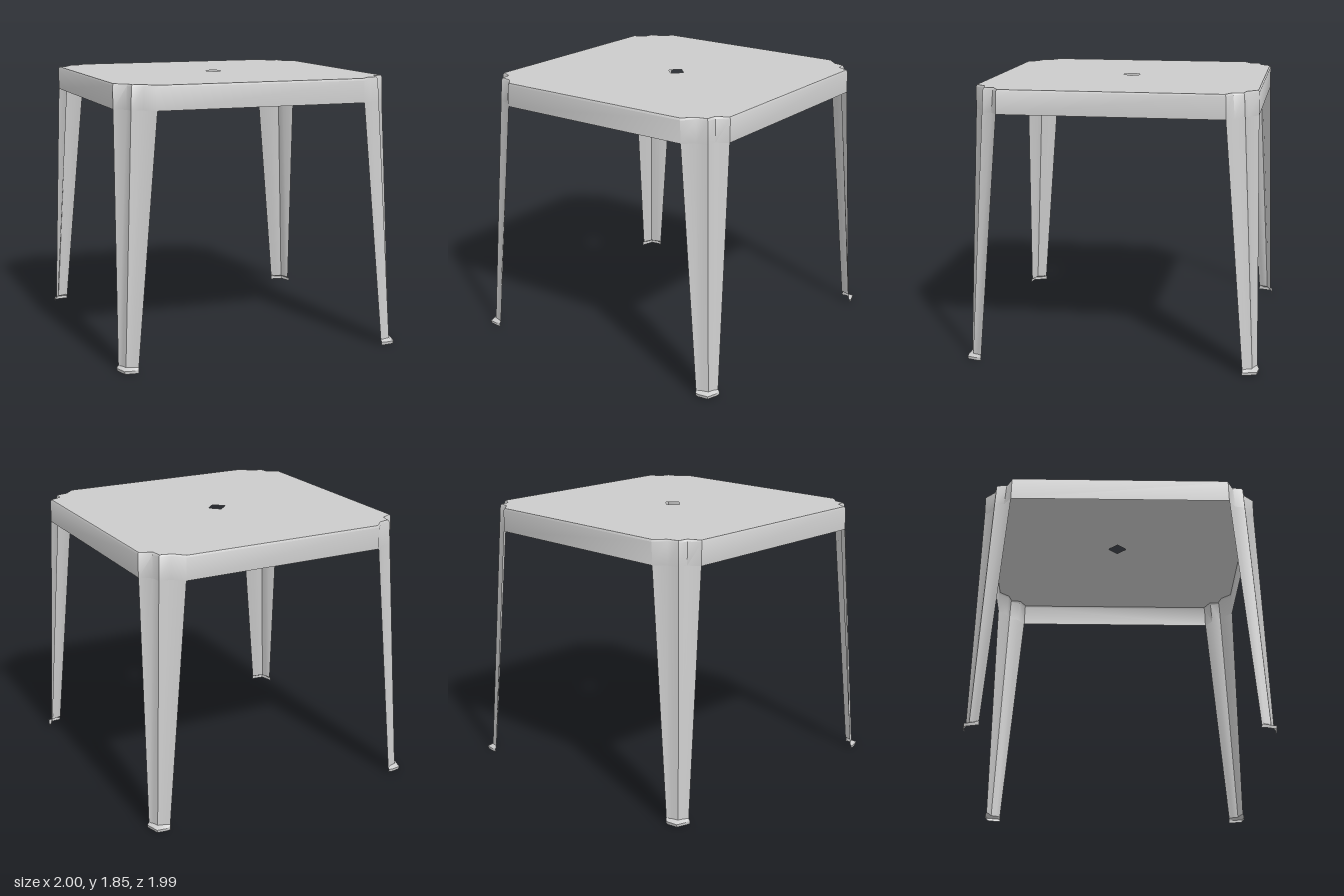
import * as THREE from 'three';
import { toCreasedNormals } from 'three/addons/utils/BufferGeometryUtils.js';

const TOP = 1.853, RIM = 1.84, APRON = 1.69, ANKLE = 0.035;

// Folded corner section [x, z], running from the front edge round to the side edge
const cornerTop = [[0.722, 0.948], [0.79, 0.878], [0.868, 0.86], [0.878, 0.79], [0.96, 0.748]];
const cornerFoot = [[0.877, 0.982], [0.908, 0.965], [0.955, 0.952], [0.968, 0.915], [0.988, 0.887]];
const footLip = [[0.88, 0.99], [0.908, 0.995], [0.974, 0.986], [0.995, 0.92], [1.0, 0.887]];

// The folds lean outwards on the way down; the two end points stay upright along the apron
const cornerApron = cornerTop.map((p, i) => {
  const k = i === 0 || i === 4 ? 0.02 : 0.087;
  return p.map((v, j) => v + (cornerFoot[i][j] - v) * k);
});

const corners = [[1, 1], [1, -1], [-1, -1], [-1, 1]];

// Mirror a corner section, keeping it anticlockwise seen from above
function mirror(section, [sx, sz]) {
  const pts = section.map(([x, z]) => [x * sx, z * sz]);
  return sx * sz < 0 ? pts.reverse() : pts;
}
const ring = (section) => corners.flatMap((c) => mirror(section, c));
const at = (pts, y, s = 1) => pts.map(([x, z]) => [x * s, y, z * s]);

// Skin rows of points given from top to bottom
function loft(rows, closed) {
  const n = rows[0].length, index = [];
  for (let r = 0; r < rows.length - 1; r++) {
    for (let i = 0; i < (closed ? n : n - 1); i++) {
      const j = (i + 1) % n;
      const a = r * n + i, b = r * n + j, c = a + n, d = b + n;
      index.push(c, d, b, c, b, a);
    }
  }
  const geo = new THREE.BufferGeometry();
  geo.setAttribute('position', new THREE.Float32BufferAttribute(rows.flat(2), 3));
  geo.setIndex(index);
  return toCreasedNormals(geo, 0.9);
}

export function createModel() {
  const group = new THREE.Group();
  const plastic = new THREE.MeshStandardMaterial({ color: 0xcccccc, side: THREE.DoubleSide });
  plastic.name = 'greyPlastic';

  function add(name, geo) {
    const mesh = new THREE.Mesh(geo, plastic);
    mesh.name = name;
    group.add(mesh);
  }

  // Table top with a diamond hole for a parasol
  const outline = ring(cornerTop).map(([x, z]) => new THREE.Vector2(x * 0.992, -z * 0.992));
  const shape = new THREE.Shape(outline);
  const h = 0.066;
  shape.holes.push(new THREE.Path([[h, 0], [0, -h], [-h, 0], [0, h]].map(([x, y]) => new THREE.Vector2(x, y))));
  add('tableTop', new THREE.ShapeGeometry(shape).rotateX(-Math.PI / 2).translate(0, TOP, 0));

  // Apron with a softened upper edge
  add('apron', loft([
    at(ring(cornerTop), TOP, 0.992),
    at(ring(cornerTop), RIM),
    at(ring(cornerApron), APRON),
  ], true));

  // Tapering folded legs, each ending in a flared foot
  corners.forEach((c, i) => {
    const label = ['FrontLeft', 'BackLeft', 'BackRight', 'FrontRight'][i];
    add('leg' + label, loft([
      at(mirror(cornerApron, c), APRON),
      at(mirror(cornerFoot, c), ANKLE),
    ], false));
    add('foot' + label, loft([
      at(mirror(cornerFoot, c), ANKLE),
      at(mirror(footLip, c), 0.02),
      at(mirror(footLip, c), 0, 0.997),
    ], false));
  });

  return group;
}
